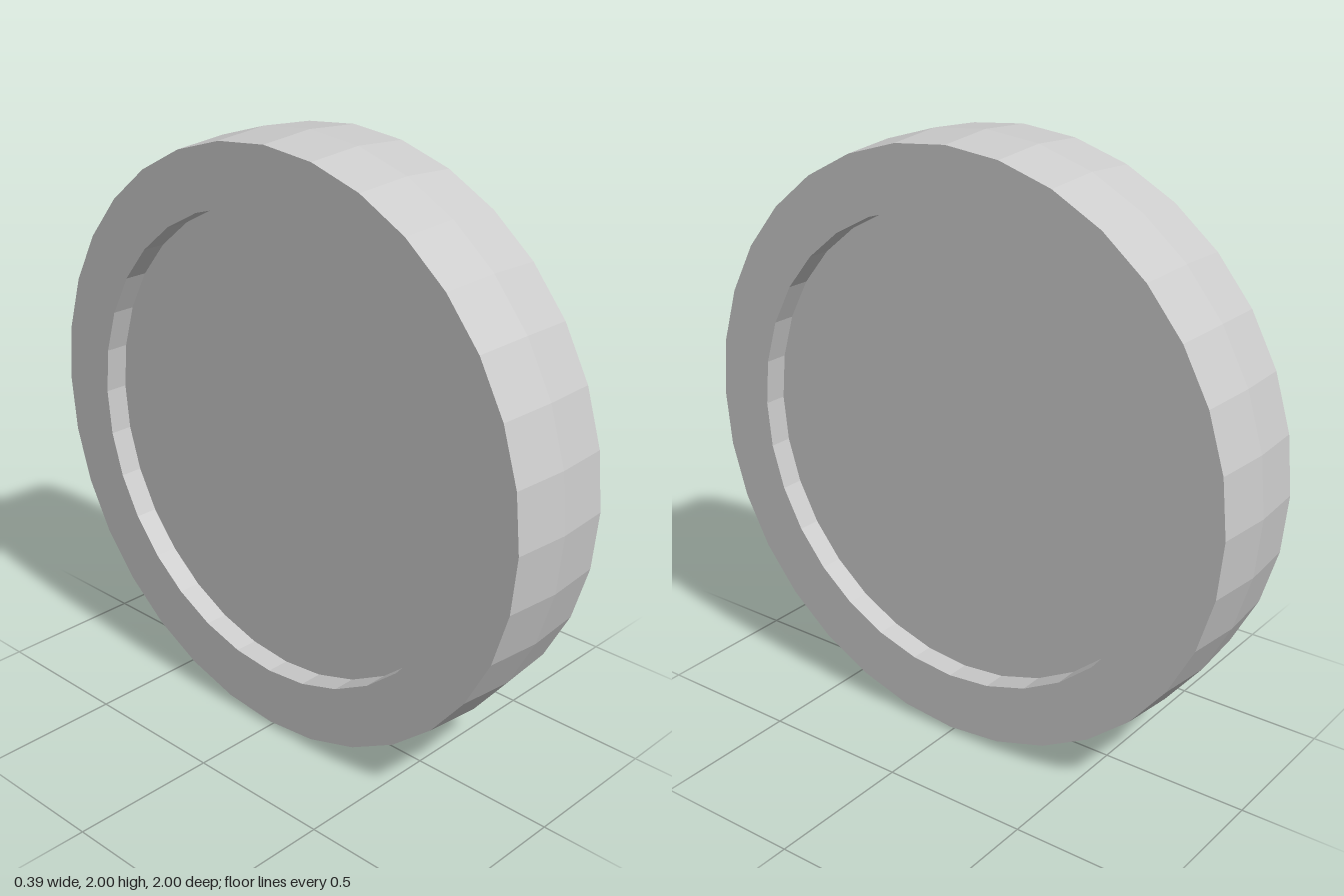
import * as THREE from 'three';

const SIDES = 32;
const HALF_WIDTH = 0.195;  // half thickness along x
const FLOOR = 0.115;       // distance of each recessed panel from the middle
const INNER = 0.785;       // recess radius
const EDGE = 0.985;        // tread radius at the side faces
const CROWN = 1;           // tread radius at the middle

export function createModel() {
  const group = new THREE.Group();
  group.name = 'wheel';
  const material = new THREE.MeshStandardMaterial({ color: 0xcccccc, flatShading: true });

  // Rim: recess walls, flat side faces and crowned tread
  const profile = [
    [INNER, -FLOOR], [INNER, -HALF_WIDTH], [EDGE, -HALF_WIDTH], [CROWN, 0],
    [EDGE, HALF_WIDTH], [INNER, HALF_WIDTH], [INNER, FLOOR],
  ].map(([r, y]) => new THREE.Vector2(r, y));
  const rim = new THREE.Mesh(new THREE.LatheGeometry(profile, SIDES), material);
  rim.name = 'rim';
  rim.rotation.z = -Math.PI / 2;
  rim.position.y = CROWN;
  group.add(rim);

  // Recessed panel on each side
  for (const side of [1, -1]) {
    const panel = new THREE.Mesh(new THREE.CircleGeometry(INNER, SIDES), material);
    panel.name = side > 0 ? 'leftPanel' : 'rightPanel';
    panel.rotation.y = side * Math.PI / 2;
    panel.position.set(side * FLOOR, CROWN, 0);
    group.add(panel);
  }
  return group;
}
